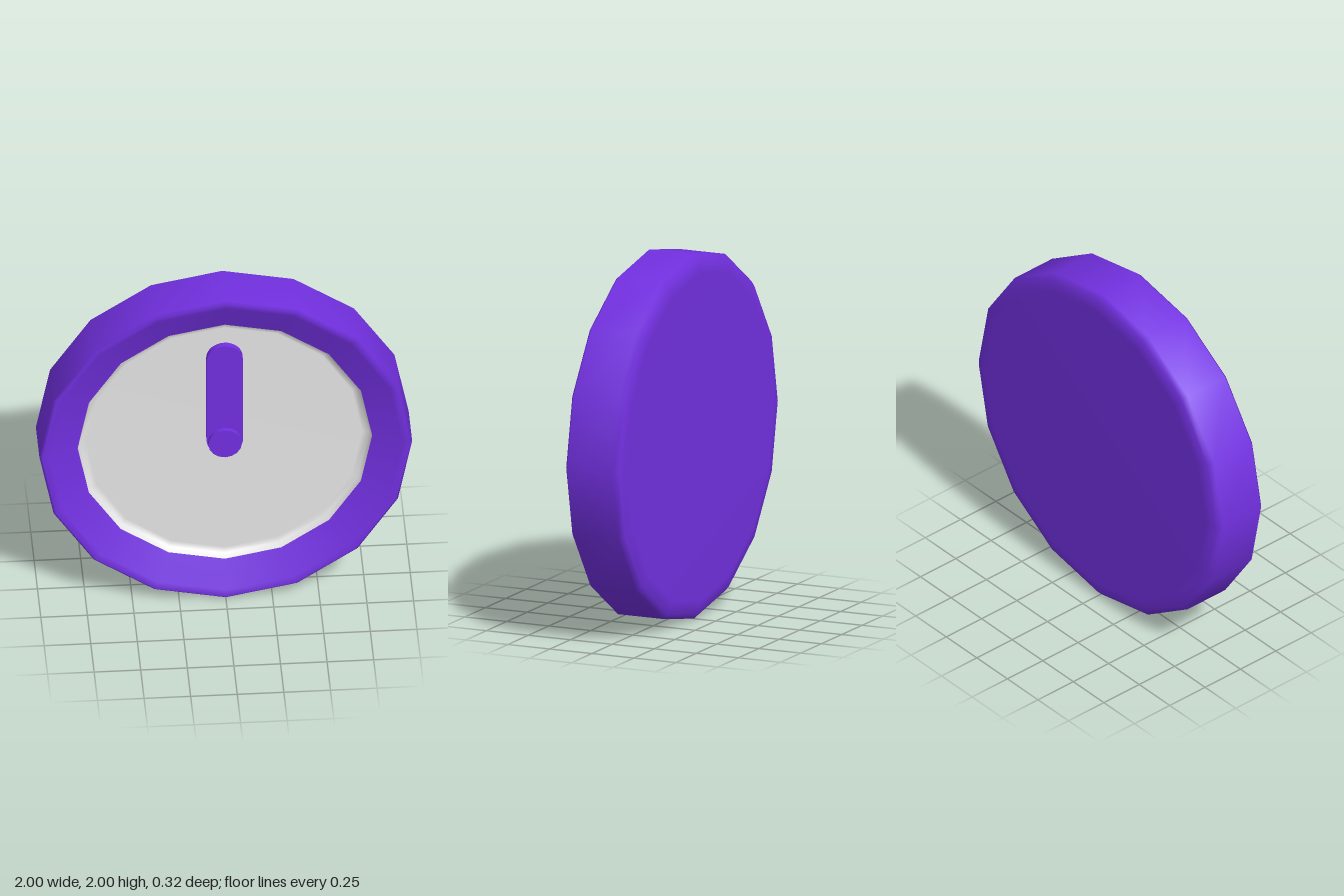
import * as THREE from 'three';

export function createModel() {
  const purple = new THREE.MeshStandardMaterial({ name: 'purple', color: 0x7230e0 });
  const paleGrey = new THREE.MeshStandardMaterial({ name: 'paleGrey', color: 0xe6e6e6 });
  const clock = new THREE.Group();
  clock.name = 'wallClock';

  const add = (name, geometry, material, y, z = 0) => {
    const mesh = new THREE.Mesh(geometry, material);
    mesh.name = name;
    mesh.position.set(0, y, z);
    clock.add(mesh);
  };

  // Sixteen-sided lathe turned so its axis faces the front; points are [radius, z]
  const turned = (points) =>
    new THREE.LatheGeometry(points.map(([r, z]) => new THREE.Vector2(r, z)), 16).rotateX(Math.PI / 2);

  // Case: flat back, softened rear edge, straight wall and inward-sloping front rim
  add('case', turned([
    [0, -0.16], [0.9, -0.16], [0.97, -0.147], [1, -0.12],
    [1, 0.145], [0.985, 0.16], [0.95, 0.147], [0.79, 0.08],
  ]), purple, 1);

  // Dial: shallow dish set inside the rim
  add('dial', turned([[0.79, 0.08], [0.775, 0.047], [0.74, 0.04], [0, 0.04]]), paleGrey, 1);

  // Hand: upright bar with rounded ends
  const bar = new THREE.Shape();
  bar.absarc(0, 0.54, 0.098, 0, Math.PI);
  bar.absarc(0, 0.01, 0.098, Math.PI, Math.PI * 2);
  add('hand', new THREE.ExtrudeGeometry(bar, { depth: 0.045, bevelEnabled: false, curveSegments: 8 }),
    purple, 1, 0.03);

  // Centre pin holding the hand
  add('centrePin', new THREE.CylinderGeometry(0.09, 0.09, 0.07, 16).rotateX(Math.PI / 2), purple, 1, 0.065);

  return clock;
}
